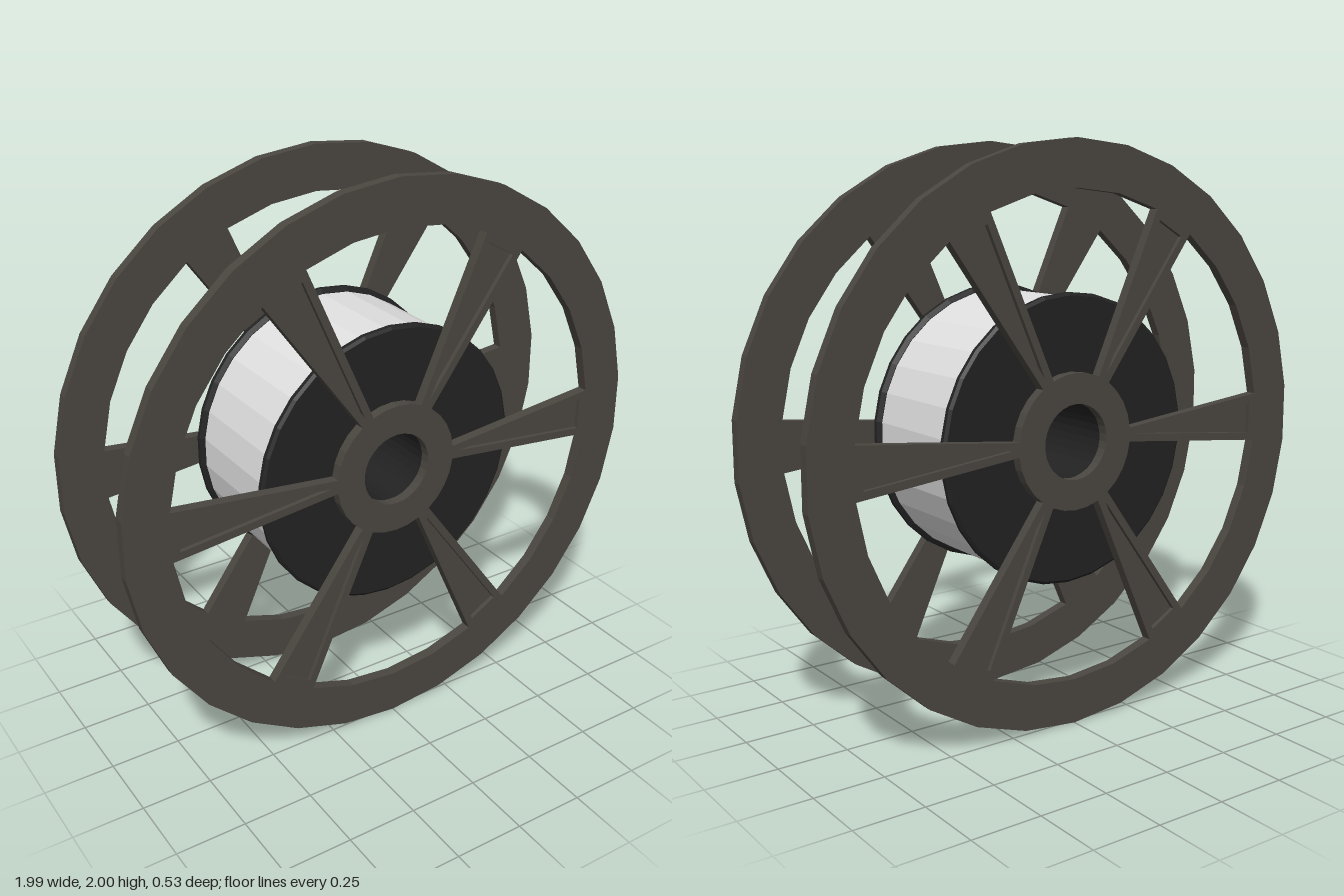
import * as THREE from 'three';

const STEP = Math.PI / 15; // every round part has 30 sides
const polar = (r, a) => new THREE.Vector2(r * Math.cos(a), r * Math.sin(a));
const ring = (r) => Array.from({ length: 30 }, (_, i) => polar(r, Math.PI / 2 + i * STEP));

// Spoked disc; optionally with triangular cut-outs along the spokes
function flangePlate(depth, withPanels) {
  const shape = new THREE.Shape(ring(1));
  shape.holes.push(new THREE.Path(ring(0.13)));
  for (let k = 0; k < 6; k++) {
    // window between two spokes
    const mid = Math.PI / 2 + (k * Math.PI) / 3;
    const pts = [];
    for (let i = -2; i <= 2; i++) pts.push(polar(0.84, mid + i * STEP));
    for (let i = 2; i >= -2; i--) pts.push(polar(0.235, mid + i * STEP));
    shape.holes.push(new THREE.Path(pts));
    if (withPanels) {
      const c = new THREE.Vector2();
      const tri = [[0.26, 0], [0.81, -0.058], [0.81, 0.058]]
        .map(([x, y]) => new THREE.Vector2(x, y).rotateAround(c, (k * Math.PI) / 3));
      shape.holes.push(new THREE.Path(tri));
    }
  }
  return new THREE.ExtrudeGeometry(shape, { depth, bevelEnabled: false });
}

// Faceted solid of revolution around z from [radius, z] pairs
function turned(profile) {
  const pts = profile.map(([r, z]) => new THREE.Vector2(r, z));
  const geo = new THREE.LatheGeometry(pts, 30).rotateX(Math.PI / 2).toNonIndexed();
  geo.computeVertexNormals();
  return geo;
}

export function createModel() {
  const metal = new THREE.MeshStandardMaterial({ color: 0x4a4640 });
  metal.name = 'dark metal';
  const black = new THREE.MeshStandardMaterial({ color: 0x222222 });
  black.name = 'black plastic';
  const white = new THREE.MeshStandardMaterial({ color: 0xe0e0e0 });
  white.name = 'pale film';

  const model = new THREE.Group();
  model.name = 'reel';
  const add = (parent, name, geo, mat) => {
    const mesh = new THREE.Mesh(geo, mat);
    mesh.name = name;
    parent.add(mesh);
    return mesh;
  };

  // Two spoked flanges with recessed panels on their outer faces
  const base = flangePlate(0.022, false);
  const face = flangePlate(0.016, true);
  for (const [name, turn] of [['frontFlange', 0], ['backFlange', Math.PI]]) {
    const flange = new THREE.Group();
    flange.name = name;
    add(flange, 'flangeBase', base, metal).position.z = 0.229;
    add(flange, 'flangeFace', face, metal).position.z = 0.251;
    flange.position.y = 1;
    flange.rotation.y = turn;
    model.add(flange);
  }

  // Hollow core with a bevelled disc at each end
  const half = [[0.46, 0.197], [0.485, 0.197], [0.5, 0.207], [0.5, 0.222], [0.49, 0.23], [0.13, 0.23]];
  const mirrored = half.map(([r, z]) => [r, -z]).reverse();
  const core = add(model, 'core', turned([...mirrored, ...half, [0.13, -0.23]]), black);
  core.position.y = 1;

  // Wound film
  const film = add(model, 'filmRoll', turned([[0.483, -0.2], [0.483, 0.2]]), white);
  film.position.y = 1;

  return model;
}
